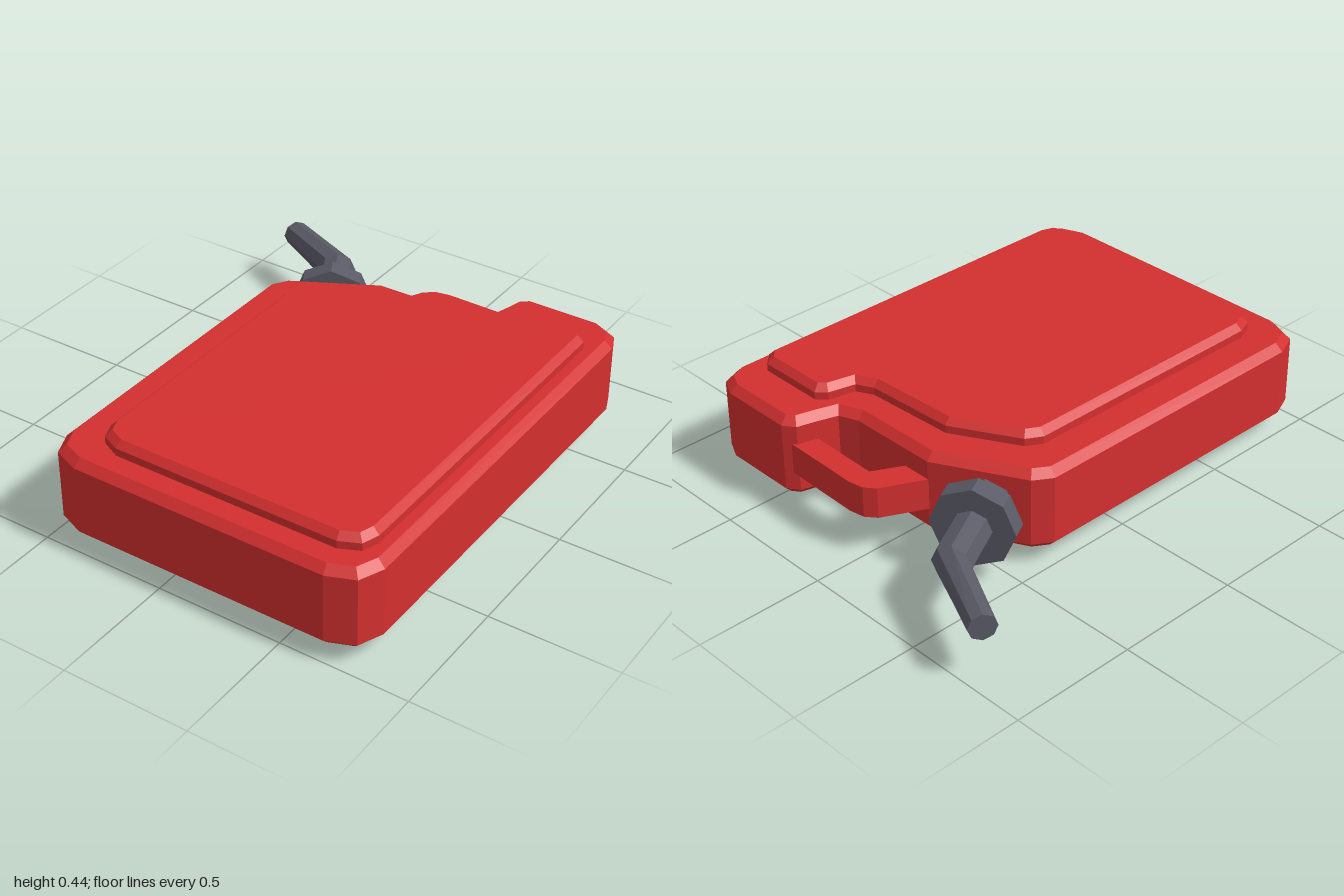
import * as THREE from 'three';

const MID = 0.225; // height of the can's middle plane

// Flat slab from an [x, z] outline, lying between two heights, with chamfered rims
function slab(name, material, outline, bottom, top, chamfer) {
  const shape = new THREE.Shape(outline.map(([x, z]) => new THREE.Vector2(x, -z)));
  const geometry = new THREE.ExtrudeGeometry(shape, {
    depth: top - bottom - 2 * chamfer,
    bevelEnabled: chamfer > 0,
    bevelThickness: chamfer,
    bevelSize: chamfer,
    bevelOffset: -chamfer,
    bevelSegments: 1,
  });
  geometry.rotateX(-Math.PI / 2).translate(0, bottom + chamfer, 0);
  const mesh = new THREE.Mesh(geometry, material);
  mesh.name = name;
  return mesh;
}

// Eight-sided faceted pipe through rings { x, z, r, dir }, dir being the heading [x, z]
function pipe(name, material, rings) {
  const last = rings.length - 1;
  const solid = new THREE.CylinderGeometry(1, 1, 1, 8, last);
  const p = solid.attributes.position;
  for (let i = 0; i < p.count; i++) {
    const ring = rings[Math.round((p.getY(i) + 0.5) * last)];
    const side = p.getX(i) * ring.r;
    const up = p.getZ(i) * ring.r;
    p.setXYZ(i, ring.x - ring.dir[1] * side, MID + up, ring.z + ring.dir[0] * side);
  }
  const geometry = solid.toNonIndexed();
  geometry.computeVertexNormals();
  const mesh = new THREE.Mesh(geometry, material);
  mesh.name = name;
  return mesh;
}

export function createModel() {
  const red = new THREE.MeshStandardMaterial({ color: 0xd32f2f });
  red.name = 'red plastic';
  const grey = new THREE.MeshStandardMaterial({ color: 0x5a5a66 });
  grey.name = 'dark grey plastic';

  const model = new THREE.Group();
  model.name = 'fuelCan';

  // Main tank
  const tank = [
    [-0.495, -0.34], [-0.45, -0.41], [-0.12, -0.587], [0.245, -0.59], [0.32, -0.62],
    [0.345, -0.7], [0.365, -0.775], [0.41, -0.807], [0.71, -0.807], [0.785, -0.77],
    [0.815, -0.695], [0.815, 0.86], [0.775, 0.955], [0.67, 0.997], [-0.35, 0.997],
    [-0.455, 0.955], [-0.495, 0.86],
  ];
  model.add(slab('tank', red, tank, 0.06, 0.39, 0.03));

  // Raised panels on both broad sides, the lower one slightly smaller
  const panel = [
    [-0.35, -0.25], [-0.315, -0.31], [-0.063, -0.45], [0.3, -0.467], [0.365, -0.5],
    [0.39, -0.605], [0.425, -0.64], [0.7, -0.64], [0.747, -0.595], [0.747, 0.79],
    [0.725, 0.855], [0.65, 0.89], [-0.25, 0.89], [-0.325, 0.855], [-0.35, 0.79],
  ];
  model.add(slab('upperPanel', red, panel, 0.34, 0.445, 0.025));
  const lowerPanel = panel.map(([x, z]) => [0.2 + (x - 0.2) * 0.982, 0.135 + (z - 0.135) * 0.985]);
  model.add(slab('lowerPanel', red, lowerPanel, 0, 0.11, 0.03));

  // Carrying handle, its ends sunk into the tank
  const handle = [
    [-0.14, -0.55], [-0.12, -0.59], [-0.04, -0.75], [0, -0.782], [0.06, -0.793],
    [0.42, -0.787], [0.42, -0.698], [0.058, -0.702], [0, -0.592], [0, -0.55],
  ];
  model.add(slab('handle', red, handle, MID - 0.062, MID + 0.062, 0));

  // Spout: neck, collar and bent nozzle along one slanted axis
  const axis = [-0.474, -0.88];
  const onAxis = (t, r) => ({ x: -0.357 + axis[0] * t, z: -0.582 + axis[1] * t, r, dir: axis });
  const spout = new THREE.Group();
  spout.name = 'spout';
  spout.add(
    pipe('neck', grey, [onAxis(-0.2, 0.108), onAxis(0, 0.108)]),
    pipe('collar', grey, [onAxis(-0.038, 0.158), onAxis(0.038, 0.158)]),
    pipe('nozzle', grey, [
      onAxis(0, 0.073),
      onAxis(0.246, 0.073),
      { x: -0.79, z: -0.953, r: 0.052, dir: [-0.88, -0.475] },
    ]),
  );
  model.add(spout);

  return model;
}
